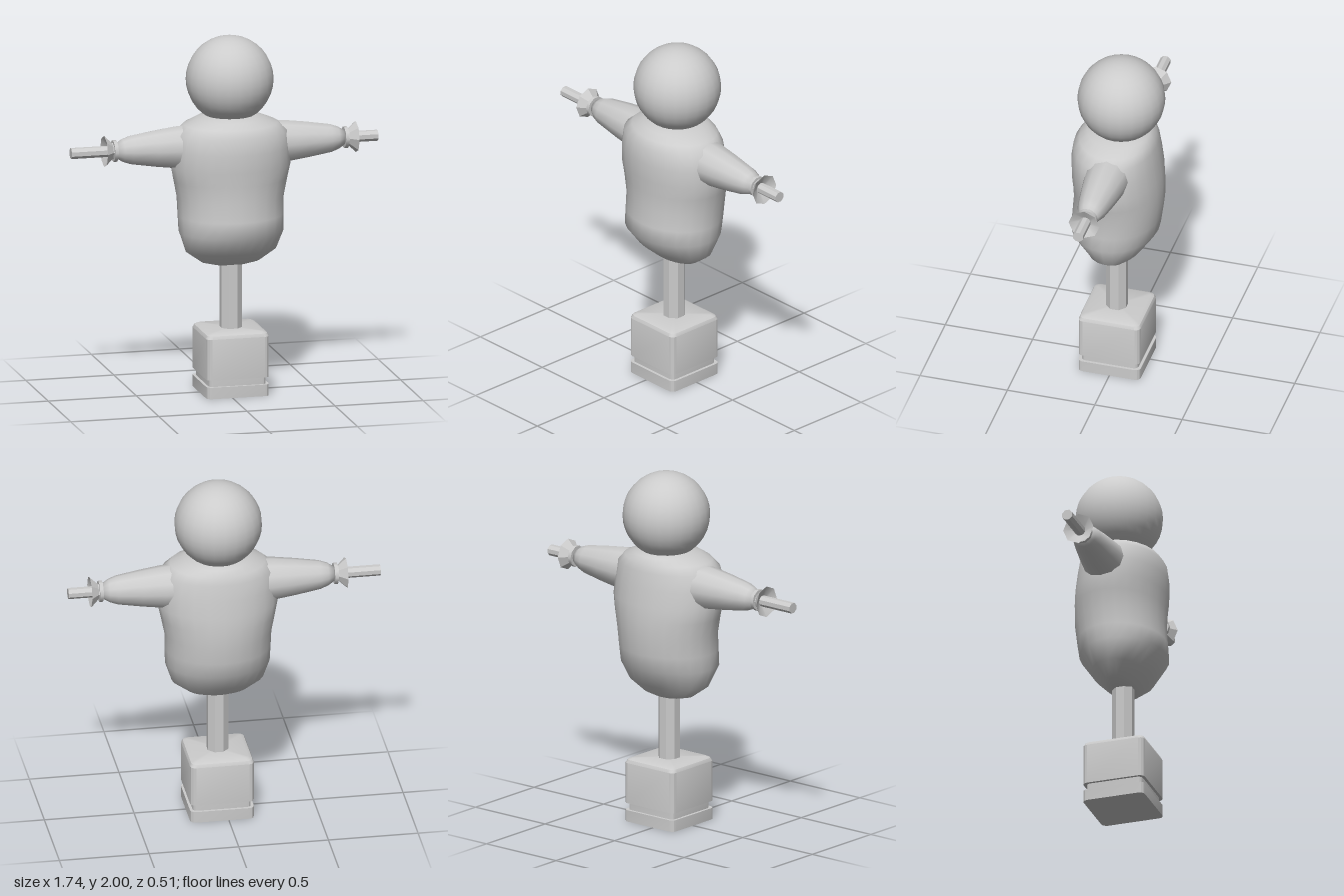
import * as THREE from 'three';
import { toCreasedNormals } from 'three/addons/utils/BufferGeometryUtils.js';

const CX = 0.034; // middle of the body and base
const ARM_Y = 1.39, ARM_Z = -0.01;
const grey = new THREE.MeshStandardMaterial({ color: 0xcccccc });
const greyThin = new THREE.MeshStandardMaterial({ color: 0xcccccc, side: THREE.DoubleSide });

// Closed skin over stacked rings; each ring is a list of [x, y, z], going from +x to +z
function loft(rings, crease) {
  const n = rings[0].length, last = rings.length - 1;
  const pos = rings.flat(2), index = [];
  for (let r = 0; r < last; r++) {
    for (let i = 0; i < n; i++) {
      const a = r * n + i, b = r * n + (i + 1) % n;
      index.push(a, a + n, b, b, a + n, b + n);
    }
  }
  for (const r of [0, last]) {
    const centre = pos.length / 3;
    for (let k = 0; k < 3; k++) pos.push(rings[r].reduce((s, p) => s + p[k], 0) / n);
    for (let i = 0; i < n; i++) {
      const a = r * n + i, b = r * n + (i + 1) % n;
      if (r === 0) index.push(centre, a, b);
      else index.push(centre, b, a);
    }
  }
  const geo = new THREE.BufferGeometry();
  geo.setAttribute('position', new THREE.Float32BufferAttribute(pos, 3));
  geo.setIndex(index);
  geo.computeVertexNormals();
  return crease ? toCreasedNormals(geo, crease) : geo;
}

// Oval ring from its x half-width and its back and front z limits
function ovalRing([y, half, back, front], n = 24) {
  return Array.from({ length: n }, (_, i) => {
    const a = (i / n) * Math.PI * 2;
    return [CX + half * Math.cos(a), y, (back + front) / 2 + (front - back) / 2 * Math.sin(a)];
  });
}

// Square ring with rounded corners
function squareRing([y, half, radius], steps = 3) {
  const ring = [];
  for (let c = 0; c < 4; c++) {
    const mid = Math.PI / 4 + c * Math.PI / 2;
    const cx = Math.sign(Math.cos(mid)) * (half - radius);
    const cz = Math.sign(Math.sin(mid)) * (half - radius);
    for (let s = 0; s <= steps; s++) {
      const a = (c + s / steps) * Math.PI / 2;
      ring.push([CX + cx + radius * Math.cos(a), y, 0.005 + cz + radius * Math.sin(a)]);
    }
  }
  return ring;
}

export function createModel() {
  const model = new THREE.Group();
  model.name = 'trainingDummy';
  const add = (parent, name, geo, material = grey) => {
    const mesh = new THREE.Mesh(geo, material);
    mesh.name = name;
    parent.add(mesh);
    return mesh;
  };

  // Base block with a groove above the foot
  add(model, 'base', loft([
    [0, 0.178, 0.03], [0.065, 0.178, 0.03],
    [0.065, 0.162, 0.025], [0.105, 0.162, 0.025],
    [0.105, 0.178, 0.03], [0.335, 0.178, 0.03],
    [0.352, 0.17, 0.03], [0.362, 0.15, 0.02],
  ].map((r) => squareRing(r)), 0.5));

  // Post
  const post = new THREE.CylinderGeometry(0.062, 0.062, 0.5, 8);
  post.rotateY(Math.PI / 8);
  add(model, 'post', toCreasedNormals(post, 0.5)).position.set(CX, 0.59, 0.007);

  // Padded torso: height, half-width, back, front
  add(model, 'torso', loft([
    [0.718, 0.10, -0.06, 0.05], [0.735, 0.165, -0.09, 0.09],
    [0.80, 0.255, -0.155, 0.165], [0.91, 0.292, -0.23, 0.255],
    [1.00, 0.295, -0.243, 0.248], [1.10, 0.298, -0.255, 0.24],
    [1.20, 0.318, -0.255, 0.242], [1.28, 0.335, -0.248, 0.248],
    [1.38, 0.33, -0.235, 0.252], [1.47, 0.315, -0.22, 0.24],
    [1.515, 0.265, -0.205, 0.21], [1.545, 0.19, -0.18, 0.17],
    [1.57, 0.11, -0.13, 0.10],
  ].map((r) => ovalRing(r))));

  // Head
  const head = add(model, 'head', new THREE.SphereGeometry(0.242, 24, 18));
  head.position.set(CX, 1.758, -0.018);

  // Arms, with the tie and the flared cuff at the wrist
  const lathe = (points, sides) =>
    new THREE.LatheGeometry(points.map(([r, y]) => new THREE.Vector2(r, y)), sides);
  for (const side of [1, -1]) {
    const arm = new THREE.Group();
    arm.name = side > 0 ? 'leftArm' : 'rightArm';
    arm.position.set(CX, ARM_Y, ARM_Z);
    arm.rotation.z = -side * Math.PI / 2;
    add(arm, 'sleeve', lathe([
      [0.13, 0.15], [0.118, 0.31], [0.102, 0.43], [0.08, 0.565],
      [0.064, 0.61], [0.042, 0.645], [0, 0.65],
    ], 12));
    add(arm, 'wristTie', toCreasedNormals(
      new THREE.CylinderGeometry(0.06, 0.06, 0.02, 10), 0.7)).position.y = 0.655;
    add(arm, 'cuff', toCreasedNormals(
      lathe([[0.042, 0.645], [0.045, 0.67], [0.088, 0.714], [0.03, 0.685]], 8), 0.5), greyThin);
    model.add(arm);
  }

  // Crossbar running through both sleeves
  const bar = new THREE.CylinderGeometry(0.031, 0.031, 1.74, 8);
  bar.rotateY(Math.PI / 8);
  bar.rotateZ(Math.PI / 2);
  add(model, 'crossbar', toCreasedNormals(bar, 0.5)).position.set(0, ARM_Y, ARM_Z);

  return model;
}
